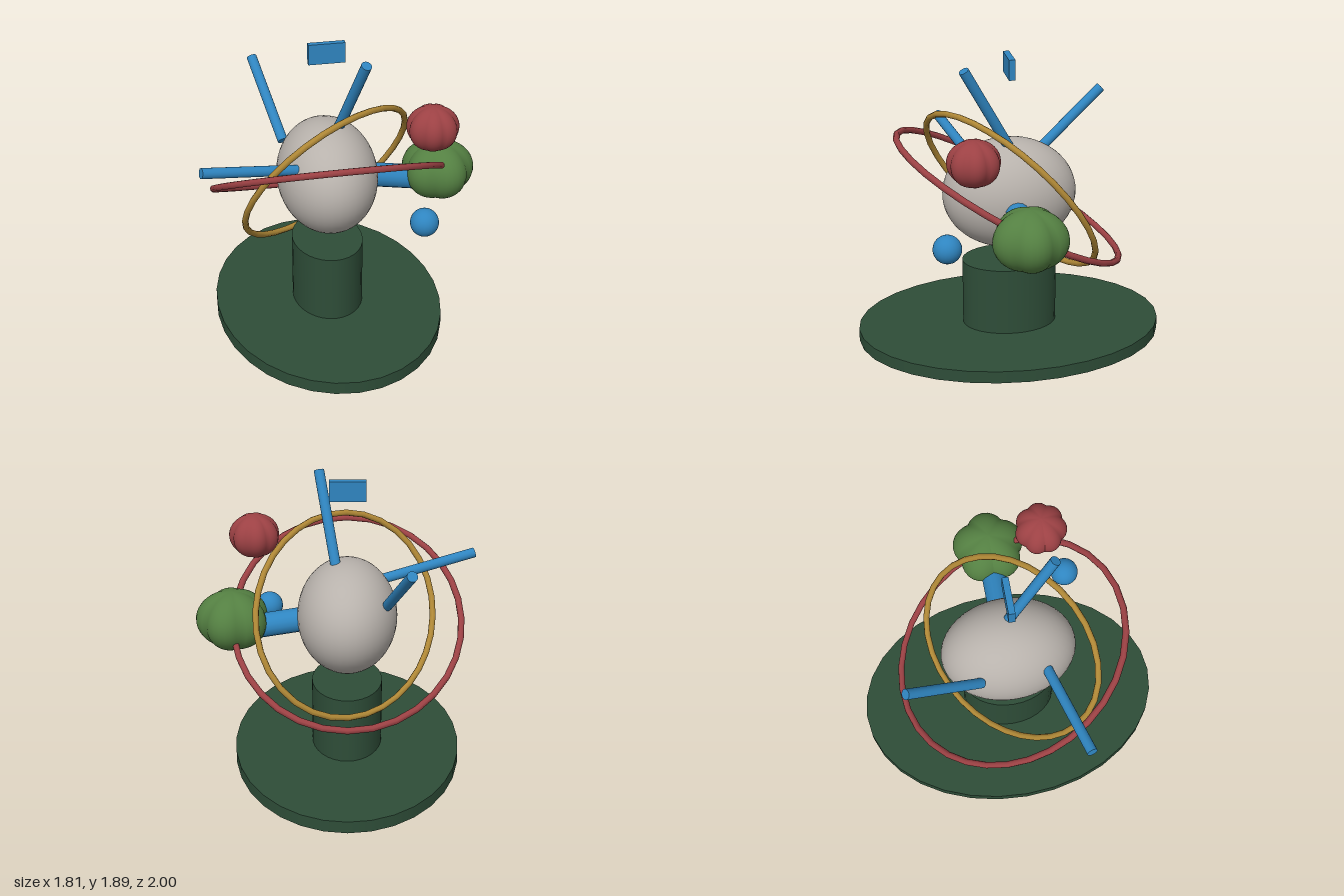
import * as THREE from 'three';

const material = (name, color) => Object.assign(new THREE.MeshStandardMaterial({ color }), { name });
const V = (x, y, z) => new THREE.Vector3(x, y, z);
const CX = -0.063; // shared axis of the stand, globe and rings

// Closed ellipse spanned by two half-axes
class EllipseLoop extends THREE.Curve {
  constructor(center, a, b) {
    super();
    Object.assign(this, { center, a, b });
  }
  getPoint(t, target = new THREE.Vector3()) {
    const u = t * Math.PI * 2;
    return target.copy(this.center).addScaledVector(this.a, Math.cos(u)).addScaledVector(this.b, Math.sin(u));
  }
}

// Ball pinched into vertical lobes around its y axis, one lobe pointing to +x
function lobedBall(radius, height, lobes, depth) {
  const geo = new THREE.SphereGeometry(1, lobes * 8, 24);
  const p = geo.attributes.position;
  for (let i = 0; i < p.count; i++) {
    const angle = Math.atan2(p.getZ(i), p.getX(i));
    const k = radius * (1 - depth + depth * Math.abs(Math.cos(angle * lobes / 2)));
    p.setXYZ(i, p.getX(i) * k, p.getY(i) * height, p.getZ(i) * k);
  }
  geo.computeVertexNormals();
  return geo;
}

export function createModel() {
  const model = new THREE.Group();
  const darkGreen = material('dark green', 0x2e4d38);
  const stone = material('warm grey', 0xb8b2ac);
  const blue = material('blue', 0x2f85c0);
  const red = material('red', 0x9c4144);
  const green = material('leaf green', 0x548042);
  const gold = material('gold', 0xb08836);

  const add = (name, geo, mat, x = 0, y = 0, z = 0) => {
    const mesh = new THREE.Mesh(geo, mat);
    mesh.name = name;
    mesh.position.set(x, y, z);
    model.add(mesh);
    return mesh;
  };
  const rod = (name, from, to, r) => {
    const mesh = add(name, new THREE.CylinderGeometry(r, r, from.distanceTo(to), 16), blue);
    mesh.position.copy(from).lerp(to, 0.5);
    mesh.quaternion.setFromUnitVectors(V(0, 1, 0), to.clone().sub(from).normalize());
  };

  // Oval stand
  add('base', new THREE.CylinderGeometry(1, 1, 0.08, 32), darkGreen, CX, 0.04, 0).scale.x = 0.738;
  add('column', new THREE.CylinderGeometry(0.31, 0.31, 0.445, 32), darkGreen, CX, 0.3025, 0).scale.x = 0.738;

  // Central globe
  add('globe', new THREE.SphereGeometry(1, 40, 28), stone, CX, 0.985, 0).scale.set(0.32, 0.362, 0.433);

  // Tilted rings
  const ring = (name, mat, y, a, b, r) =>
    add(name, new THREE.TubeGeometry(new EllipseLoop(V(CX, y, 0), a, b), 32, r, 8, true), mat);
  ring('redRing', red, 0.96, V(0, 0.415, 0.715), V(0.73, 0, 0), 0.021);
  ring('goldRing', gold, 0.993, V(0.12, 0.548, 0.336), V(0.555, 0, -0.358), 0.02);

  // Rods around the globe and the thick arm
  rod('frontRod', V(-0.29, 1.145, 0.205), V(-0.895, 1.267, 0.36), 0.033);
  rod('backRod', V(-0.31, 1.145, -0.21), V(-0.432, 1.545, -0.677), 0.033);
  rod('topRod', V(0.005, 1.29, 0), V(0.118, 1.85, 0.31), 0.033);
  rod('arm', V(0.1, 0.975, 0), V(0.6, 0.89, 0), 0.078);

  // Floating pieces
  add('plate', new THREE.BoxGeometry(0.23, 0.13, 0.04), blue, CX, 1.822, 0);
  add('smallBall', new THREE.SphereGeometry(0.09, 24, 16), blue, 0.46, 0.837, 0.47);
  add('greenLobedBall', lobedBall(0.238, 0.194, 5, 0.15), green, 0.668, 0.954, 0);
  add('redLobedBall', lobedBall(0.165, 0.143, 7, 0.11), red, 0.537, 1.407, 0.312);

  return model;
}
